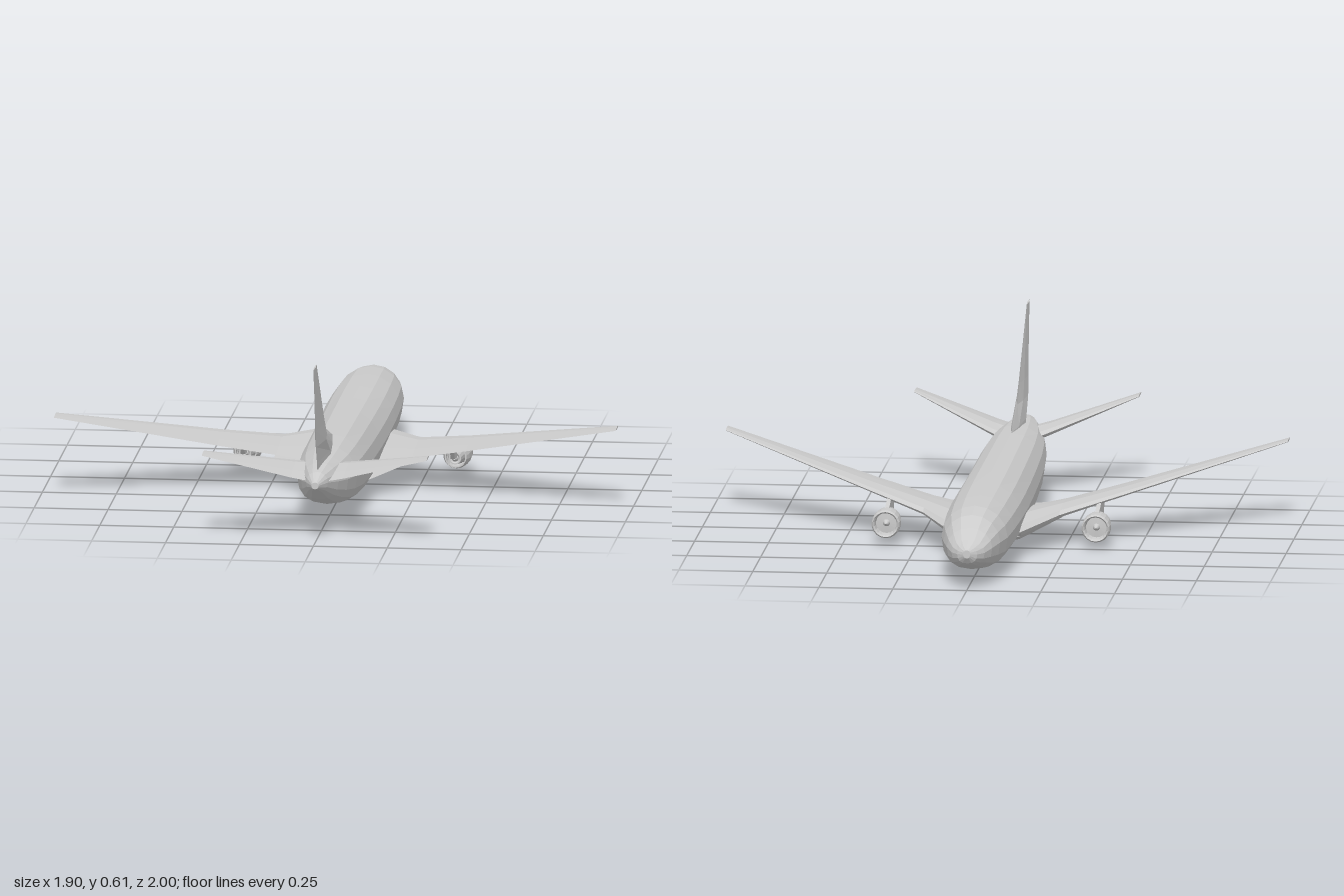
import * as THREE from 'three';

const material = new THREE.MeshStandardMaterial({ color: 0xcccccc, flatShading: true, side: THREE.DoubleSide });

function add(parent, name, geometry) {
  const mesh = new THREE.Mesh(geometry, material);
  mesh.name = name;
  parent.add(mesh);
  return mesh;
}

// Skins a list of equal-sized rings of [x, y, z], closes both ends and faces outwards.
function loft(rings) {
  const n = rings[0].length;
  const points = rings.flat();
  const index = [];
  for (let i = 0; i < rings.length - 1; i++) {
    for (let j = 0; j < n; j++) {
      const a = i * n + j, b = i * n + (j + 1) % n;
      index.push(a, b, b + n, a, b + n, a + n);
    }
  }
  const last = (rings.length - 1) * n;
  for (let j = 1; j < n - 1; j++) {
    index.push(0, j + 1, j, last, last + j, last + j + 1);
  }
  // Signed volume tells whether the winding has to be flipped (mirrored parts).
  const v = points.map((p) => new THREE.Vector3(...p));
  let volume = 0;
  for (let i = 0; i < index.length; i += 3) {
    volume += v[index[i]].dot(v[index[i + 1]].clone().cross(v[index[i + 2]]));
  }
  if (volume < 0) index.reverse();
  const geometry = new THREE.BufferGeometry();
  geometry.setAttribute('position', new THREE.Float32BufferAttribute(points.flat(), 3));
  geometry.setIndex(index);
  geometry.computeVertexNormals();
  return geometry;
}

// Aerofoil outline: [fraction of chord, fraction of thickness].
const FOIL = [[0, 0], [0.08, 0.28], [0.35, 0.5], [0.7, 0.28], [1, 0], [0.6, -0.3], [0.2, -0.42], [0.06, -0.25]];

// Horizontal surface from stations [x, leading z, trailing z, y, thickness].
function wingGeometry(stations, side) {
  return loft(stations.map(([x, z0, z1, y, t]) =>
    FOIL.map(([c, h]) => [side * x, y + h * t, z0 + c * (z1 - z0)])));
}

// Fuselage stations: [z, half width, top, bottom].
const BODY = [
  [-1, 0.012, 0.138, 0.11], [-0.985, 0.034, 0.152, 0.09], [-0.955, 0.056, 0.166, 0.077],
  [-0.91, 0.077, 0.197, 0.062], [-0.84, 0.096, 0.228, 0.042], [-0.75, 0.112, 0.242, 0.028],
  [-0.6, 0.12, 0.248, 0.022], [-0.4, 0.124, 0.251, 0.016], [-0.2, 0.123, 0.253, 0.004],
  [0, 0.12, 0.255, 0], [0.2, 0.117, 0.257, 0.008], [0.42, 0.112, 0.259, 0.027],
  [0.58, 0.102, 0.257, 0.055], [0.7, 0.085, 0.251, 0.085], [0.8, 0.063, 0.245, 0.118],
  [0.89, 0.037, 0.232, 0.16], [0.95, 0.012, 0.208, 0.185],
];

function fuselageGeometry() {
  const sides = 16;
  return loft(BODY.map(([z, w, top, bottom]) => {
    const ring = [];
    for (let i = 0; i < sides; i++) {
      const a = (i / sides) * Math.PI * 2;
      const c = Math.cos(a), s = Math.sin(a);
      // The belly is slightly squarer than the crown.
      const e = s < -0.01 ? 0.85 : 1;
      ring.push([
        w * Math.sign(c) * Math.abs(c) ** e,
        (top + bottom) / 2 + ((top - bottom) / 2) * Math.sign(s) * Math.abs(s) ** e,
        z,
      ]);
    }
    return ring;
  }));
}

// Fin stations: [y, leading z, trailing z, thickness].
function finGeometry() {
  const stations = [
    [0.21, 0.38, 0.87, 0.05], [0.26, 0.42, 0.887, 0.045], [0.32, 0.61, 0.907, 0.038],
    [0.38, 0.68, 0.927, 0.03], [0.605, 0.9, 1, 0.006],
  ];
  const outline = [[0, 0], [0.25, 0.3], [0.55, 0.5], [1, 0], [0.55, -0.5], [0.25, -0.3]];
  return loft(stations.map(([y, z0, z1, t]) =>
    outline.map(([c, h]) => [h * t, y, z0 + c * (z1 - z0)])));
}

// Turns a [radius, z] profile around the z axis.
function turned(profile, sides = 18) {
  return new THREE.LatheGeometry(profile.map(([r, z]) => new THREE.Vector2(r, z)), sides).rotateX(Math.PI / 2);
}

function createEngine(side) {
  const engine = new THREE.Group();
  engine.name = side > 0 ? 'leftEngine' : 'rightEngine';
  engine.position.set(side * 0.355, 0.07, 0);
  // Hollow cowl with a rounded intake lip
  add(engine, 'cowl', turned([
    [0.035, -0.215], [0.038, -0.242], [0.043, -0.248], [0.048, -0.24], [0.049, -0.205],
    [0.045, -0.165], [0.037, -0.135], [0.033, -0.135], [0.035, -0.18],
  ]));
  add(engine, 'fan', turned([[0, -0.238], [0.008, -0.228], [0.012, -0.215], [0.036, -0.213]]));
  add(engine, 'core', turned([[0.034, -0.185], [0.027, -0.15], [0.021, -0.115], [0.017, -0.115], [0.012, -0.12], [0, -0.09]], 14));
  // Pylon joining the cowl to the wing
  const profile = [[-0.215, 0.04], [-0.13, 0.066], [0.0, 0.074], [-0.05, 0.012], [-0.15, 0]];
  add(engine, 'pylon', loft([-0.007, 0.007].map((x) => profile.map(([z, y]) => [x, y, z]))));
  return engine;
}

export function createModel() {
  const plane = new THREE.Group();
  plane.name = 'airliner';
  add(plane, 'fuselage', fuselageGeometry());
  add(plane, 'tailFin', finGeometry());

  for (const side of [-1, 1]) {
    const label = side > 0 ? 'left' : 'right';
    add(plane, label + 'Wing', wingGeometry([
      [0.04, -0.45, 0.06, 0.083, 0.075], [0.12, -0.42, 0.065, 0.088, 0.07],
      [0.23, -0.225, 0.08, 0.11, 0.042], [0.42, -0.09, 0.15, 0.153, 0.028],
      [0.95, 0.27, 0.35, 0.279, 0.008],
    ], side));
    // Fairing blending the wing root into the belly
    add(plane, label + 'WingFairing', wingGeometry([
      [0.04, -0.4, 0.28, 0.055, 0.07], [0.11, -0.38, 0.21, 0.065, 0.06], [0.235, -0.19, 0.085, 0.1, 0.025],
    ], side));
    add(plane, label + 'Tailplane', wingGeometry([
      [0.02, 0.6, 0.875, 0.195, 0.05], [0.09, 0.65, 0.895, 0.212, 0.04], [0.38, 0.9, 0.98, 0.298, 0.008],
    ], side));
    plane.add(createEngine(side));
  }
  return plane;
}
